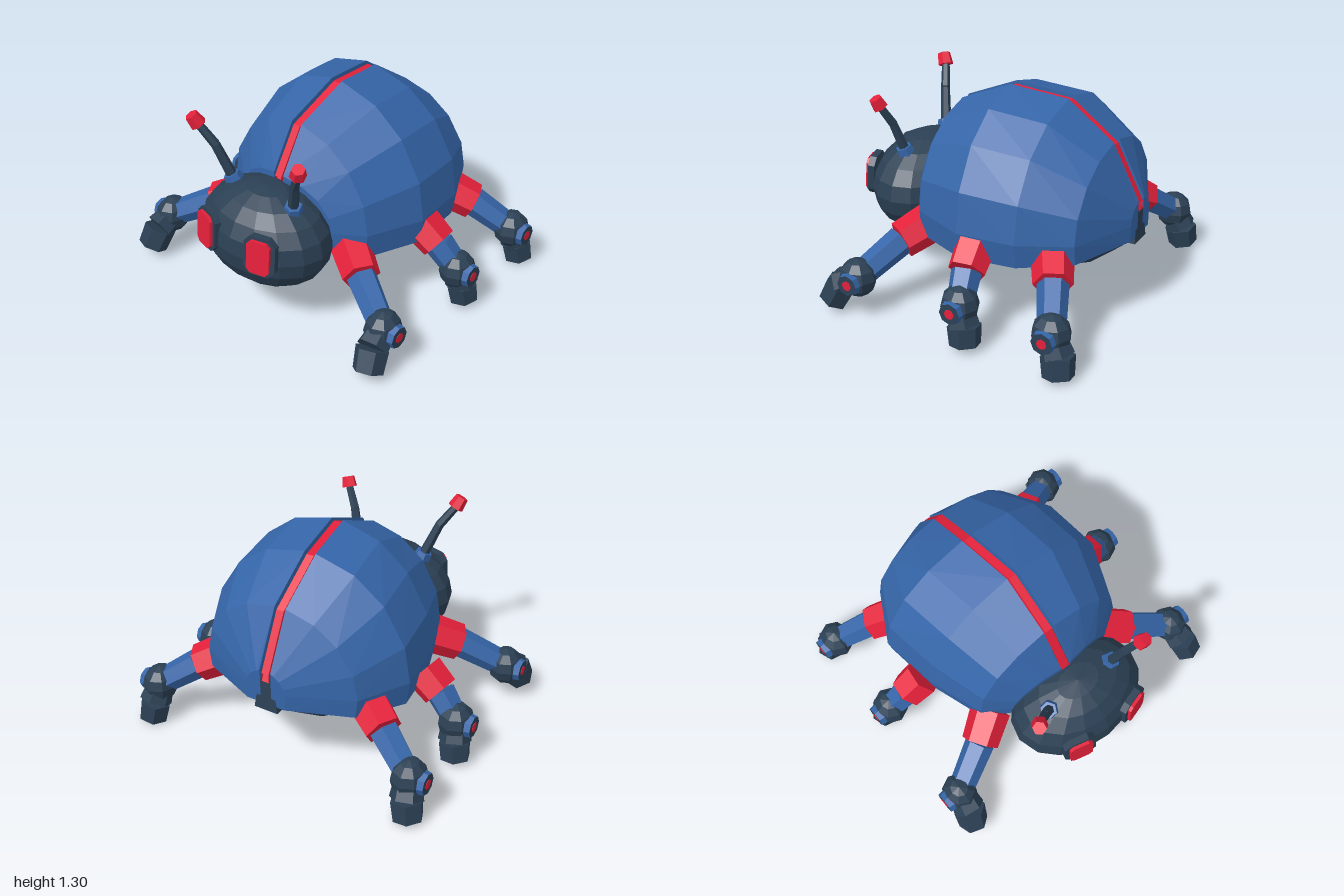
import * as THREE from 'three';

const mat = (name, color) => new THREE.MeshStandardMaterial({ name, color, flatShading: true, side: THREE.DoubleSide });
const blue = mat('shell blue', 0x3565a8);
const dark = mat('dark slate', 0x2b4054);
const red = mat('red', 0xe4203a);
const V = (x, y, z) => new THREE.Vector3(x, y, z);

function add(parent, name, geo, material, pos) {
  const m = new THREE.Mesh(geo, material);
  m.name = name;
  if (pos) m.position.copy(pos);
  parent.add(m);
  return m;
}

// tapered prism from point a to point b, with a flat side facing up
function bone(parent, name, a, b, ra, rb, sides, material) {
  const geo = new THREE.CylinderGeometry(rb, ra, a.distanceTo(b), sides)
    .rotateY(Math.PI / sides).rotateX(Math.PI / 2);
  const m = add(parent, name, geo, material, a.clone().lerp(b, 0.5));
  m.lookAt(b);
  return m;
}

// faceted skin through a row of equally long sections
function loft(rings, flip) {
  const p = [];
  for (let i = 0; i < rings.length - 1; i++) {
    for (let j = 0; j < rings[i].length - 1; j++) {
      const a = rings[i][j], b = rings[i][j + 1], c = rings[i + 1][j + 1], d = rings[i + 1][j];
      const tris = flip ? [a, c, b, a, d, c] : [a, b, c, a, c, d];
      tris.forEach(v => p.push(v.x, v.y, v.z));
    }
  }
  const g = new THREE.BufferGeometry();
  g.setAttribute('position', new THREE.Float32BufferAttribute(p, 3));
  g.computeVertexNormals();
  return g;
}

function ball(rx, ry, rz, w, h) {
  return new THREE.SphereGeometry(1, w, h).scale(rx, ry, rz);
}

// chamfered rectangular plate
function plate(w, h, depth, cut) {
  const x = w / 2, y = h / 2;
  const pts = [[-x + cut, -y], [x - cut, -y], [x, -y + cut], [x, y - cut],
    [x - cut, y], [-x + cut, y], [-x, y - cut], [-x, -y + cut]];
  const s = new THREE.Shape(pts.map(q => new THREE.Vector2(...q)));
  return new THREE.ExtrudeGeometry(s, { depth, bevelEnabled: false });
}

// shell stations: z, top height, half width, base height, seam x
const stations = [
  [0.47, 0.88, 0.36, 0.50, 0.015],
  [0.30, 1.15, 0.53, 0.44, 0.012],
  [-0.04, 1.30, 0.66, 0.44, 0.022],
  [-0.40, 1.26, 0.67, 0.45, -0.018],
  [-0.70, 1.05, 0.51, 0.48, -0.008],
  [-0.87, 0.72, 0.13, 0.50, -0.008],
];

function shellRing([z, top, hw, base, s], side, i) {
  const ring = [V(s + side * 0.036, top - 0.07, z)];
  const width = hw * (side > 0 ? 1.02 : 0.98);
  [87, 64, 43, 20, 0, -14].forEach((deg, j) => {
    const t = THREE.MathUtils.degToRad(deg);
    const x = Math.max(0.036, width * Math.cos(t));
    const y = j === 5 ? base : 0.6 + (top - 0.6) * Math.sin(t);
    ring.push(V(s + side * x, y, i === 0 ? z - 0.16 * x : z));
  });
  return ring;
}

function buildShell(root) {
  for (const side of [1, -1]) {
    const rings = stations.map((st, i) => shellRing(st, side, i));
    // both ends close onto the foot of the seam
    const hub = i => rings[i].map(() => V(stations[i][4] + side * 0.036, stations[i][3], rings[i][0].z));
    const skin = [hub(0), ...rings, hub(rings.length - 1)];
    add(root, side > 0 ? 'leftWingCase' : 'rightWingCase', loft(skin, side < 0), blue);
  }
  // red ribbon in the seam
  const ribbon = stations.map(([z, top, , , s]) => {
    const a = s - 0.024, b = s + 0.024, t = top - 0.018, u = top - 0.07;
    return [V(a, u, z), V(a, t, z), V(b, t, z), V(b, u, z), V(a, u, z)];
  });
  add(root, 'seamStripe', loft(ribbon, false), red);
  // dark tail showing below the end of the seam
  const tail = new THREE.CylinderGeometry(0.06, 0.11, 0.2, 4).rotateY(Math.PI / 4).scale(1, 1, 0.4);
  add(root, 'tail', tail, dark, V(-0.008, 0.56, -0.845));
}

function buildHead(root) {
  add(root, 'head', ball(0.442, 0.315, 0.315, 16, 10), dark, V(0.015, 0.55, 0.575));
  // eyes
  for (const [x, turn] of [[-0.18, -0.27], [0.222, 0.27]]) {
    const eye = new THREE.Group();
    eye.name = 'eye';
    eye.position.set(x, 0.608, 0.822);
    eye.rotation.set(-0.08, turn, 0);
    add(eye, 'eyeFrame', plate(0.2, 0.25, 0.042, 0.045), dark);
    add(eye, 'eyeLens', plate(0.145, 0.21, 0.022, 0.025), red, V(0, 0, 0.04));
    root.add(eye);
  }
  // antennae: base, bend, end of stalk, tip
  const antennae = [
    [V(-0.21, 0.79, 0.59), V(-0.305, 1.04, 0.65), V(-0.385, 1.16, 0.695), V(-0.413, 1.225, 0.725)],
    [V(0.245, 0.79, 0.59), V(0.305, 1.0, 0.64), V(0.37, 1.12, 0.68), V(0.393, 1.18, 0.7)],
  ];
  for (const [a, b, c, d] of antennae) {
    bone(root, 'antennaSocket', a, a.clone().lerp(b, 0.24), 0.06, 0.05, 6, blue);
    bone(root, 'antennaLower', a, b, 0.034, 0.028, 6, dark);
    bone(root, 'antennaUpper', b, c, 0.029, 0.025, 6, dark);
    bone(root, 'antennaTip', c, d, 0.05, 0.04, 6, red);
  }
}

// hip start, hip end, ankle, instep, toe for the left side
const legs = [
  ['frontLeg', V(0.43, 0.475, 0.3), V(0.6, 0.4, 0.405), V(0.87, 0.245, 0.535), V(0.885, 0.18, 0.645), V(0.905, 0.062, 0.705)],
  ['middleLeg', V(0.62, 0.505, -0.125), V(0.745, 0.41, -0.14), V(0.87, 0.265, -0.17), V(0.885, 0.15, -0.205), V(0.9, 0.035, -0.218)],
  ['rearLeg', V(0.5, 0.49, -0.56), V(0.645, 0.415, -0.64), V(0.87, 0.255, -0.75), V(0.885, 0.14, -0.8), V(0.905, 0.02, -0.815)],
];

function buildLegs(root) {
  for (const side of [1, -1]) {
    for (const [name, ...pts] of legs) {
      const leg = new THREE.Group();
      leg.name = (side > 0 ? 'left ' : 'right ') + name;
      const [hip, knee, ankle, instep, toe] = pts.map(p => V(p.x * side, p.y, p.z));
      bone(leg, 'hip', hip, knee, 0.125, 0.115, 6, red);
      bone(leg, 'shin', knee, ankle, 0.092, 0.08, 6, blue);
      add(leg, 'ankle', ball(0.108, 0.12, 0.118, 8, 6), dark, ankle);
      bone(leg, 'foot', ankle, instep, 0.08, 0.1, 6, dark);
      bone(leg, 'toe', instep, toe, 0.1, 0.092, 6, dark);
      // ankle cap with a red pin
      const cap = add(leg, 'ankleCap', new THREE.CylinderGeometry(0.066, 0.075, 0.055, 8), [blue, dark, dark],
        V(side * 0.96, ankle.y - 0.005, ankle.z));
      cap.rotation.z = -side * Math.PI / 2;
      add(cap, 'anklePin', new THREE.CylinderGeometry(0.031, 0.031, 0.006, 8), red, V(0, 0.027, 0));
      root.add(leg);
    }
  }
}

export function createModel() {
  const root = new THREE.Group();
  root.name = 'beetle';
  add(root, 'belly', ball(0.61, 0.228, 0.66, 12, 8), dark, V(0.01, 0.49, -0.17));
  buildShell(root);
  buildHead(root);
  buildLegs(root);
  return root;
}
